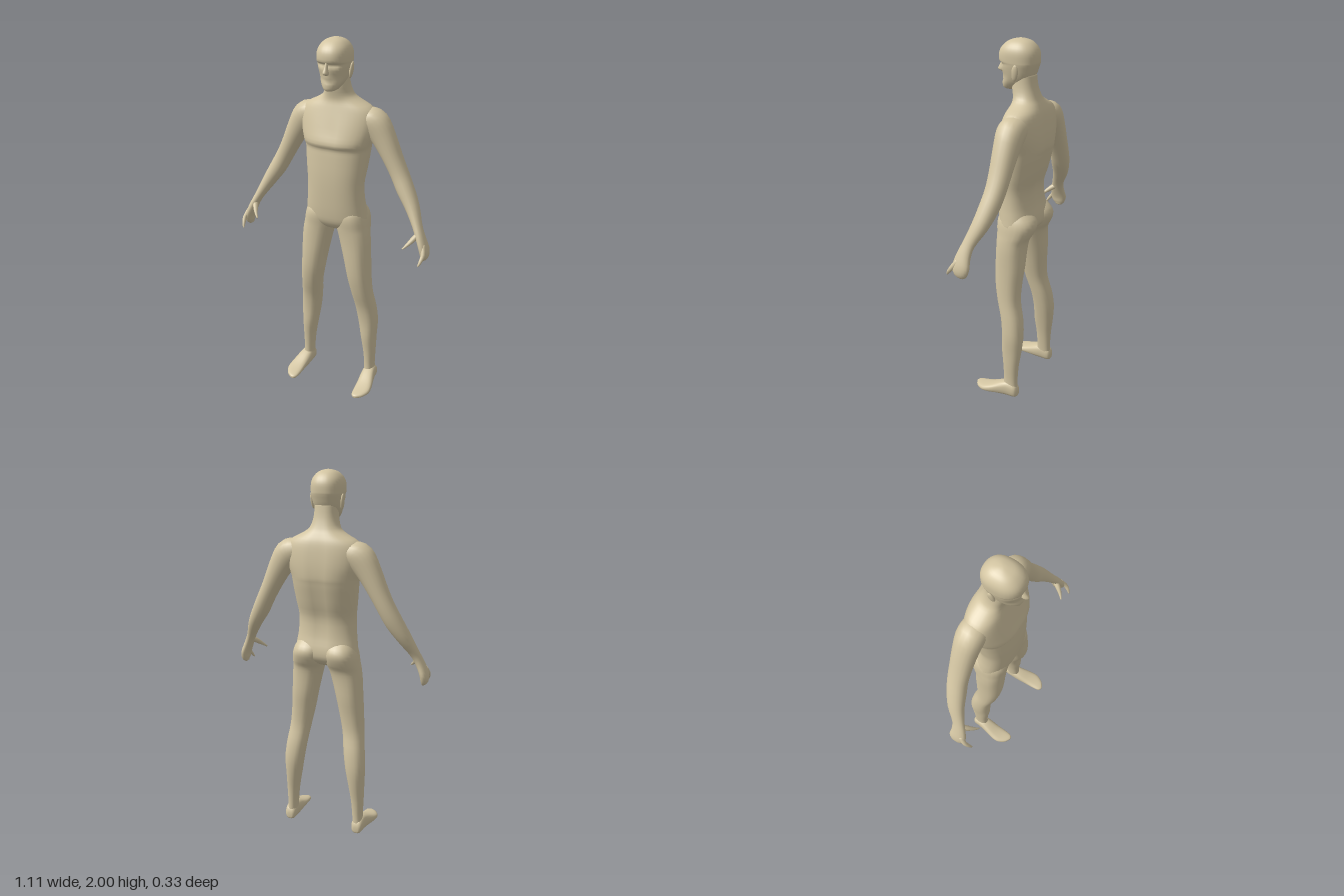
import * as THREE from 'three';

const skin = new THREE.MeshStandardMaterial({ color: 0xd3c5a2 });
skin.name = 'skin';

const Y = new THREE.Vector3(0, 1, 0), Z = new THREE.Vector3(0, 0, 1);
const DOWN = new THREE.Vector3(0, -1, 0);

// Catmull-Rom through rows of numbers
function smoothRows(rows, steps) {
  const out = [], last = rows.length - 1;
  for (let i = 0; i < last; i++) {
    const a = rows[Math.max(i - 1, 0)], b = rows[i], c = rows[i + 1], d = rows[Math.min(i + 2, last)];
    for (let s = 0; s < steps; s++) {
      const t = s / steps;
      out.push(b.map((p, k) => {
        const cubic = 3 * (p - c[k]) + d[k] - a[k];
        const square = 2 * a[k] - 5 * p + 4 * c[k] - d[k];
        return p + 0.5 * t * (c[k] - a[k] + t * (square + t * cubic));
      }));
    }
  }
  out.push(rows[last]);
  return out;
}

// Closed loft through sections [x, y, z, halfWidth, halfDepth]; "depth" is the direction of halfDepth
function loft(name, rows, { depth = Z, along = null, power = 2, sides = 20, shape = null } = {}) {
  const secs = smoothRows(rows, 3), n = secs.length, pos = [], idx = [];
  const centres = secs.map(s => new THREE.Vector3(s[0], s[1], s[2]));
  const round = c => Math.sign(c) * Math.pow(Math.abs(c), 2 / power);
  secs.forEach((s, i) => {
    const T = along ? along.clone()
      : centres[Math.min(i + 1, n - 1)].clone().sub(centres[Math.max(i - 1, 0)]).normalize();
    const V = depth.clone().addScaledVector(T, -depth.dot(T)).normalize();
    const U = V.clone().cross(T);
    for (let j = 0; j < sides; j++) {
      const a = j / sides * Math.PI * 2;
      const p = centres[i].clone()
        .addScaledVector(U, s[3] * round(Math.cos(a)))
        .addScaledVector(V, s[4] * round(Math.sin(a)));
      if (shape) shape(p, Math.sin(a));
      pos.push(p.x, p.y, p.z);
    }
  });
  for (let i = 0; i < n - 1; i++) {
    for (let j = 0; j < sides; j++) {
      const a = i * sides + j, b = i * sides + (j + 1) % sides;
      idx.push(a, b, a + sides, b, b + sides, a + sides);
    }
  }
  const first = n * sides, end = (n - 1) * sides;
  pos.push(...centres[0].toArray(), ...centres[n - 1].toArray());
  for (let j = 0; j < sides; j++) {
    const k = (j + 1) % sides;
    idx.push(first, k, j, first + 1, end + j, end + k);
  }
  const geo = new THREE.BufferGeometry();
  geo.setAttribute('position', new THREE.Float32BufferAttribute(pos, 3));
  geo.setIndex(idx);
  geo.computeVertexNormals();
  const mesh = new THREE.Mesh(geo, skin);
  mesh.name = name;
  return mesh;
}

// Level section from [y, xMin, xMax, zFront, zBack]
const level = ([y, x0, x1, zf, zb]) => [(x0 + x1) / 2, y, (zf + zb) / 2, (x1 - x0) / 2, (zf - zb) / 2];
const centred = rows => rows.map(([y, w, zf, zb]) => level([y, -w, w, zf, zb]));
const bump = (v, c, r) => Math.exp(-(((v - c) / r) ** 2));

export function createModel() {
  const body = new THREE.Group();
  body.name = 'body';

  // Neck, chest, waist and pelvis
  body.add(loft('torso', centred([
    [1.84, 0.058, 0.02, -0.088], [1.77, 0.063, 0.03, -0.098], [1.715, 0.08, 0.02, -0.115],
    [1.685, 0.12, 0.018, -0.13], [1.65, 0.185, 0.028, -0.146], [1.6, 0.21, 0.045, -0.157],
    [1.53, 0.205, 0.07, -0.166], [1.47, 0.187, 0.09, -0.168], [1.44, 0.18, 0.077, -0.163],
    [1.4, 0.176, 0.079, -0.155], [1.32, 0.167, 0.084, -0.135], [1.24, 0.158, 0.085, -0.112],
    [1.15, 0.163, 0.082, -0.116], [1.08, 0.173, 0.077, -0.132], [1.03, 0.175, 0.068, -0.13],
    [0.995, 0.12, 0.045, -0.1], [0.975, 0.04, 0.01, -0.06],
  ]), {
    along: DOWN, power: 2.3, sides: 36,
    shape: (p, s) => {
      // spine groove and a shallow breastbone dip
      if (s < 0) p.z += 0.013 * bump(p.x, 0, 0.035) * bump(p.y, 1.35, 0.3);
      else p.z -= 0.005 * bump(p.x, 0, 0.02) * bump(p.y, 1.52, 0.07);
    },
  }));

  // Head with eye sockets, cheeks and mouth
  body.add(loft('head', centred([
    [1.746, 0.022, 0.078, 0.01], [1.755, 0.036, 0.09, -0.015], [1.785, 0.058, 0.093, -0.055],
    [1.82, 0.071, 0.092, -0.085], [1.86, 0.08, 0.095, -0.1], [1.88, 0.083, 0.092, -0.106],
    [1.893, 0.084, 0.102, -0.108], [1.93, 0.083, 0.1, -0.107], [1.96, 0.073, 0.084, -0.094],
    [1.985, 0.05, 0.053, -0.068], [1.997, 0.022, 0.015, -0.035], [2.0, 0.004, -0.006, -0.014],
  ]), {
    along: Y, power: 2.35, sides: 32,
    shape: (p, s) => {
      if (s <= 0) return;
      p.z -= 0.014 * s * bump(Math.abs(p.x), 0.04, 0.024) * bump(p.y, 1.873, 0.012);
      p.z -= 0.35 * s * Math.abs(p.x) * bump(p.y, 1.81, 0.045);
      p.z -= 0.006 * s * bump(p.y, 1.795, 0.006) * bump(p.x, 0, 0.03);
    },
  }));
  body.add(loft('nose', [
    [0, 1.888, 0.09, 0.007, 0.01], [0, 1.865, 0.096, 0.009, 0.014], [0, 1.842, 0.1, 0.014, 0.023],
    [0, 1.832, 0.096, 0.012, 0.018], [0, 1.826, 0.09, 0.005, 0.006],
  ], { along: DOWN, sides: 12 }));

  for (const side of [1, -1]) {
    const prefix = side > 0 ? 'left' : 'right';
    const limb = (name, rows, opts) =>
      body.add(loft(prefix + name, rows.map(([x, ...rest]) => [x * side, ...rest]), opts));

    // Ear
    const ear = new THREE.Mesh(new THREE.SphereGeometry(1, 14, 10), skin);
    ear.name = prefix + 'Ear';
    ear.scale.set(0.009, 0.042, 0.018);
    ear.position.set(side * 0.082, 1.843, -0.02);
    ear.rotation.set(-0.15, 0, -side * 0.12);
    body.add(ear);

    // Arm from shoulder to closed hand
    limb('Arm', [
      [0.11, 1.6, -0.065, 0.045, 0.06], [0.155, 1.592, -0.065, 0.064, 0.07], [0.2, 1.572, -0.066, 0.074, 0.072],
      [0.25, 1.5, -0.067, 0.062, 0.065], [0.303, 1.4, -0.066, 0.05, 0.058], [0.345, 1.32, -0.062, 0.046, 0.054],
      [0.383, 1.25, -0.05, 0.045, 0.052], [0.432, 1.17, -0.028, 0.036, 0.045], [0.478, 1.085, 0.008, 0.024, 0.034],
      [0.507, 1.025, 0.024, 0.022, 0.04], [0.53, 0.968, 0.028, 0.022, 0.048], [0.533, 0.93, 0.026, 0.019, 0.036],
      [0.525, 0.91, 0.026, 0.007, 0.014],
    ], { power: 2.15 });
    limb('Finger', [
      [0.528, 1.0, 0.045, 0.012, 0.016], [0.54, 0.96, 0.075, 0.012, 0.013],
      [0.536, 0.932, 0.098, 0.009, 0.009], [0.528, 0.91, 0.112, 0.004, 0.004],
    ], { sides: 10 });
    limb('Thumb', [
      [0.497, 1.055, 0.02, 0.014, 0.018], [0.478, 1.03, 0.055, 0.014, 0.015],
      [0.457, 1.005, 0.085, 0.009, 0.009], [0.437, 0.985, 0.105, 0.004, 0.004],
    ], { sides: 10 });

    // Leg with buttock, knee and calf
    limb('Leg', [
      [1.13, 0.03, 0.14, 0.03, -0.09], [1.09, 0.01, 0.165, 0.06, -0.134], [1.05, 0.004, 0.179, 0.068, -0.149],
      [1.0, 0.008, 0.187, 0.064, -0.132], [0.96, 0.02, 0.193, 0.062, -0.11], [0.9, 0.036, 0.199, 0.061, -0.102],
      [0.8, 0.06, 0.203, 0.061, -0.099], [0.7, 0.08, 0.209, 0.055, -0.09], [0.6, 0.1, 0.217, 0.036, -0.09],
      [0.5, 0.115, 0.23, 0.008, -0.113], [0.4, 0.131, 0.238, -0.004, -0.124], [0.3, 0.149, 0.234, -0.004, -0.118],
      [0.2, 0.165, 0.232, -0.014, -0.105], [0.1, 0.174, 0.229, -0.018, -0.1], [0.04, 0.175, 0.236, -0.01, -0.103],
    ].map(level), { along: DOWN, power: 2.3, sides: 24 });

    // Foot from heel to toe
    limb('Foot', [
      [0.207, 0.028, -0.108, 0.014, 0.016], [0.207, 0.038, -0.095, 0.03, 0.037], [0.208, 0.046, -0.05, 0.036, 0.046],
      [0.212, 0.04, -0.005, 0.041, 0.04], [0.221, 0.026, 0.055, 0.046, 0.026], [0.223, 0.018, 0.1, 0.046, 0.018],
      [0.215, 0.013, 0.14, 0.034, 0.013], [0.208, 0.011, 0.158, 0.02, 0.01], [0.206, 0.01, 0.166, 0.007, 0.006],
    ], { depth: Y, along: Z, power: 2.6 });
  }
  return body;
}
